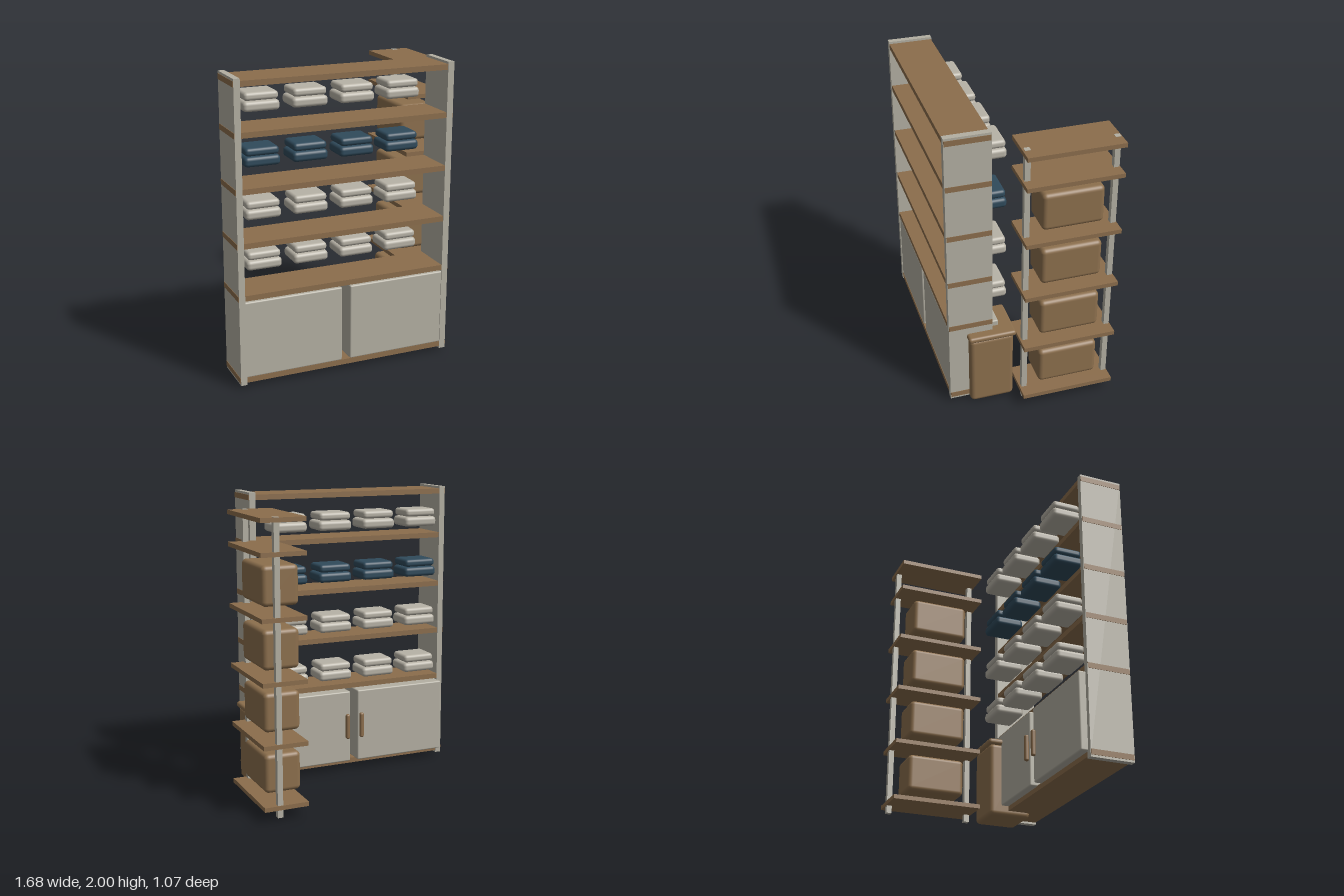
import * as THREE from 'three';
import { RoundedBoxGeometry } from 'three/addons/geometries/RoundedBoxGeometry.js';

const mat = (name, color) => {
  const m = new THREE.MeshStandardMaterial({ color });
  m.name = name;
  return m;
};

export function createModel() {
  const wood = mat('wood', 0x8b6d4c);
  const basketTan = mat('basket tan', 0x8c6f4d);
  const panel = mat('panel grey', 0xb3afa2);
  const cloth = mat('light cloth', 0xb7b2a6);
  const navy = mat('navy cloth', 0x2f4a5b);

  const model = new THREE.Group();
  model.name = 'shelvingSet';
  const section = (name) => {
    const g = new THREE.Group();
    g.name = name;
    model.add(g);
    return g;
  };

  // Box between two limits on each axis, with rounded edges when r > 0
  const box = (parent, name, material, [x0, x1], [y0, y1], [z0, z1], r = 0) => {
    const w = x1 - x0, h = y1 - y0, d = z1 - z0;
    const geo = r ? new RoundedBoxGeometry(w, h, d, 3, r) : new THREE.BoxGeometry(w, h, d);
    const mesh = new THREE.Mesh(geo, material);
    mesh.name = name;
    mesh.position.set((x0 + x1) / 2, (y0 + y1) / 2, (z0 + z1) / 2);
    parent.add(mesh);
    return mesh;
  };

  // Large shelf: side panels and boards that run through them
  const large = section('largeShelf');
  box(large, 'rightPanel', panel, [-0.836, -0.795], [0.022, 2], [0.24, 0.535]);
  box(large, 'leftPanel', panel, [0.592, 0.635], [0.022, 2], [0.24, 0.535]);
  for (const top of [1.985, 1.673, 1.321, 0.974, 0.63, 0.072]) {
    box(large, 'board', wood, [-0.839, 0.638], [top - 0.036, top], [0.243, 0.532]);
  }

  // Lower cabinets with handles facing the back
  const cabinets = section('cabinets');
  box(cabinets, 'rightCabinet', panel, [-0.805, -0.132], [0.068, 0.583], [0.192, 0.53], 0.01);
  box(cabinets, 'leftCabinet', panel, [-0.075, 0.601], [0.068, 0.583], [0.192, 0.53], 0.01);
  for (const x of [-0.157, -0.05]) {
    box(cabinets, 'handle', wood, [x - 0.015, x + 0.015], [0.24, 0.42], [0.165, 0.196], 0.012);
  }

  // Folded stacks, two pieces each, four to a board
  const stacks = section('foldedStacks');
  [[1.673, cloth], [1.321, navy], [0.974, cloth], [0.633, cloth]].forEach(([y, m]) => {
    for (let i = 0; i < 4; i++) {
      const x = -0.579 + i * 0.3245;
      box(stacks, 'lowerFold', m, [x - 0.12, x + 0.12], [y + 0.064, y + 0.13], [0.106, 0.31], 0.024);
      box(stacks, 'upperFold', m, [x - 0.113, x + 0.113], [y + 0.133, y + 0.186], [0.112, 0.304], 0.022);
    }
  });

  // Narrow shelf on two posts
  const narrow = section('narrowShelf');
  for (const top of [1.91, 1.703, 1.303, 0.903, 0.503, 0.103]) {
    box(narrow, 'narrowBoard', wood, [0.542, 0.838], [top - 0.029, top], [-0.532, 0.088]);
  }
  for (const z of [0.057, -0.509]) {
    box(narrow, 'post', panel, [0.715, 0.751], [0.022, 1.912], [z - 0.018, z + 0.018]);
  }

  // Storage baskets, one per bay
  for (let i = 0; i < 4; i++) {
    const y = 0.153 + i * 0.4;
    box(narrow, 'basket', basketTan, [0.553, 0.795], [y, y + 0.256], [-0.43, -0.03], 0.03);
  }

  // Lidded bin
  const bin = section('bin');
  box(bin, 'binBody', basketTan, [0.4, 0.686], [0, 0.512], [0.11, 0.405], 0.03);
  box(bin, 'binLid', basketTan, [0.386, 0.7], [0.505, 0.545], [0.096, 0.415], 0.018);

  return model;
}
